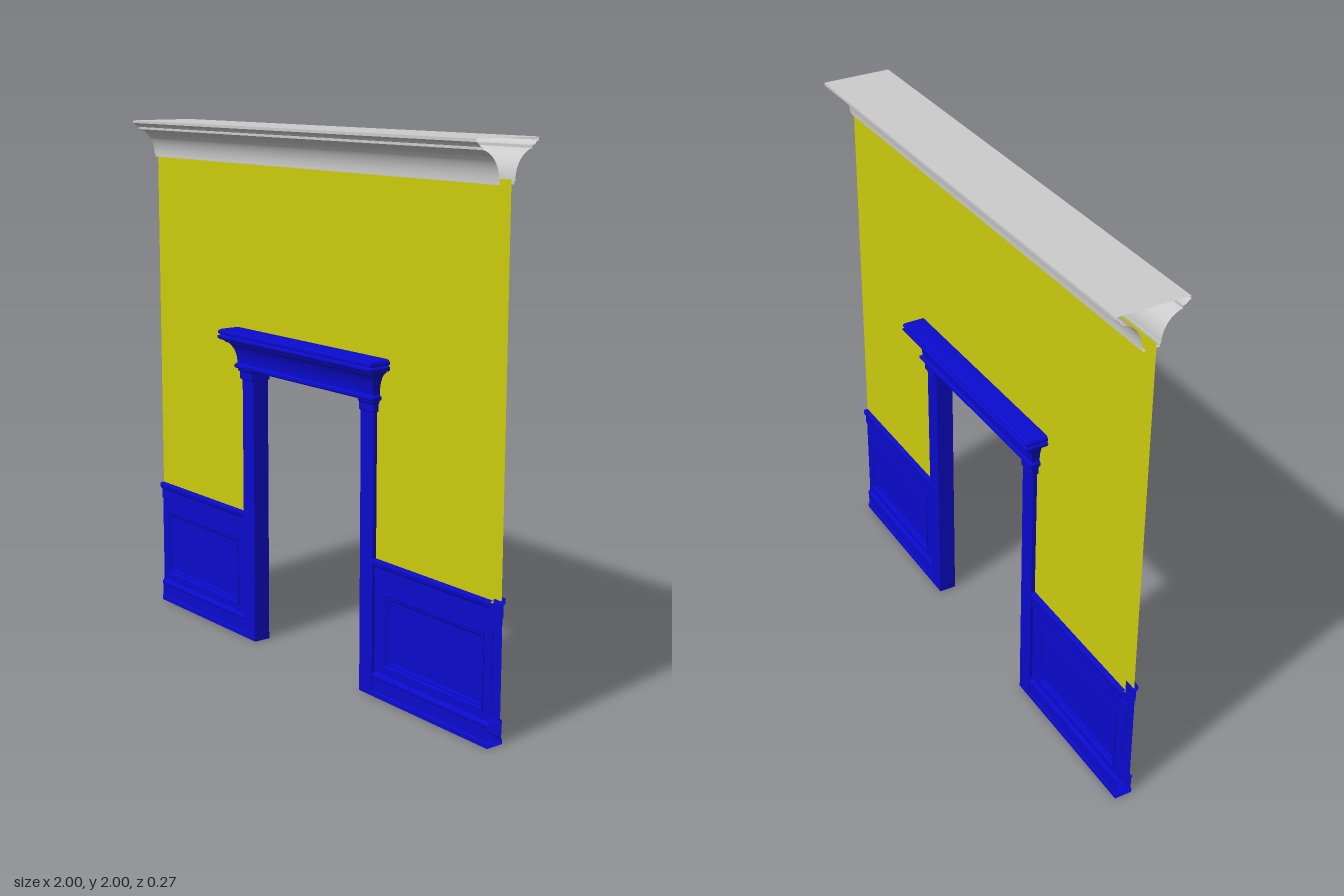
import * as THREE from 'three';
import { toCreasedNormals } from 'three/addons/utils/BufferGeometryUtils.js';

const paint = (color) => new THREE.MeshStandardMaterial({ color, side: THREE.DoubleSide });
const BLUE = paint(0x0a0acc), YELLOW = paint(0xcccc0d), GREY = paint(0xcccccc);

function makeMesh(name, geometry, material) {
  const mesh = new THREE.Mesh(geometry, material);
  mesh.name = name;
  return mesh;
}

// Geometry from a list of four-cornered faces
function fromQuads(quads) {
  const pos = [];
  for (const [a, b, c, d] of quads) pos.push(...a, ...b, ...c, ...a, ...c, ...d);
  const g = new THREE.BufferGeometry();
  g.setAttribute('position', new THREE.Float32BufferAttribute(pos, 3));
  g.computeVertexNormals();
  return toCreasedNormals(g, 0.45);
}

// Moulding: a [z, y] profile, listed upward, run along x with open ends
function moulding(profile, x0, x1) {
  const quads = [];
  for (let i = 0; i + 1 < profile.length; i++) {
    const [z, y] = profile[i], [zn, yn] = profile[i + 1];
    quads.push([[x0, y, z], [x1, y, z], [x1, yn, zn], [x0, yn, zn]]);
  }
  return fromQuads(quads);
}

// Skin over stacked rectangles [u0, u1, v0, v1, h]; place() turns u, v, h into x, y, z
function loft(rects, place, capStart) {
  const rings = rects.map(([u0, u1, v0, v1, h]) =>
    [[u0, v0], [u1, v0], [u1, v1], [u0, v1]].map(([u, v]) => place(u, v, h)));
  const quads = [rings[rings.length - 1]];
  if (capStart) quads.push([...rings[0]].reverse());
  for (let i = 0; i + 1 < rings.length; i++) {
    for (let k = 0; k < 4; k++) {
      const n = (k + 1) % 4;
      quads.push([rings[i][k], rings[i][n], rings[i + 1][n], rings[i + 1][k]]);
    }
  }
  return fromQuads(quads);
}
const upright = (u, v, h) => [u, h, -v];
const facing = (u, v, h) => [u, v, h];

// Concave quarter curve, rising from vertical to nearly horizontal
function cove(z0, y0, z1, y1, steps, sweep = Math.PI / 2) {
  const pts = [];
  for (let i = 0; i <= steps; i++) {
    const t = (i / steps) * sweep;
    pts.push([
      z0 + (z1 - z0) * (1 - Math.cos(t)) / (1 - Math.cos(sweep)),
      y0 + (y1 - y0) * Math.sin(t) / Math.sin(sweep),
    ]);
  }
  return pts;
}

const WALL = 0.018, JAMB_Z = 0.034, JAMB_IN = 0.325, JAMB_OUT = 0.396;

// One face of the wall; the other face is the same turned half way round
function buildFace() {
  const face = new THREE.Group();

  // Plain wall above the panelling, notched for the doorway
  const outline = new THREE.Shape([
    [-1, 0.5], [-0.36, 0.5], [-0.36, 1.1], [0.36, 1.1], [0.36, 0.5],
    [1, 0.5], [1, 1.87], [-1, 1.87],
  ].map(([x, y]) => new THREE.Vector2(x, y)));
  const wall = makeMesh('wallSurface', new THREE.ShapeGeometry(outline), YELLOW);
  wall.position.z = WALL;
  face.add(wall);

  // Ceiling cornice
  const cornice = [
    [WALL, 1.855], [0.03, 1.855], [0.03, 1.866],
    ...cove(0.034, 1.866, 0.105, 1.965, 14, 1.4),
    [0.105, 1.974], [0.116, 1.976], [0.122, 1.984], [0.133, 1.99], [0.133, 2], [0, 2],
  ];
  face.add(makeMesh('cornice', moulding(cornice, -1, 1), GREY));

  // Panelling either side of the doorway
  const baseboard = [
    [0, 0], [0.034, 0], [0.034, 0.016], [0.03, 0.021], [0.03, 0.068],
    [0.033, 0.073], [0.033, 0.08], [0.027, 0.088], [0.023, 0.092],
  ];
  const chairRail = [
    [0.023, 0.44], [0.027, 0.443], [0.027, 0.482], [0.034, 0.488],
    [0.036, 0.494], [0.036, 0.504], [0.032, 0.509], [WALL, 0.509],
  ];
  for (const side of [-1, 1]) {
    const [x0, x1] = side > 0 ? [JAMB_OUT, 1] : [-1, -JAMB_OUT];
    const [p0, p1] = side > 0 ? [0.45, 0.965] : [-0.965, -0.45];
    // Stepped frame sinking to the flat field, as [inset, z]
    const steps = [[0, 0.023], [0, 0.027], [0.008, 0.027], [0.013, 0.02], [0.02, 0.02], [0.026, 0.015]];
    const panel = loft([
      [x0, x1, 0.085, 0.445, 0.023],
      ...steps.map(([d, z]) => [p0 + d, p1 - d, 0.117 + d, 0.397 - d, z]),
    ], facing);
    face.add(
      makeMesh('wainscotPanel', panel, BLUE),
      makeMesh('baseboard', moulding(baseboard, x0, x1), BLUE),
      makeMesh('chairRail', moulding(chairRail, x0, x1), BLUE),
    );
  }
  return face;
}

// Door casing: two posts with capitals and a moulded header
function buildDoorCasing() {
  const casing = new THREE.Group();
  casing.name = 'doorCasing';

  // Rows of [outward offset, y]
  const capital = [[0, 1.035], [0.007, 1.04], [0.007, 1.066], [0.012, 1.072], [0.012, 1.08]];
  const header = [
    [0.018, 1.08], [0.022, 1.084], [0.022, 1.094], [0.014, 1.1],
    ...cove(0.014, 1.104, 0.042, 1.18, 8, 1.2),
    [0.047, 1.18], [0.05, 1.188], [0.062, 1.19], [0.068, 1.197], [0.068, 1.204],
    [0.058, 1.209], [0.066, 1.213], [0.066, 1.222], [0.06, 1.229], [0.052, 1.231],
  ];
  for (const side of [-1, 1]) {
    // Inner face stays flush with the opening
    const span = (o) => (side > 0 ? [JAMB_IN, JAMB_OUT + o] : [-JAMB_OUT - o, -JAMB_IN]);
    const rect = ([o, y]) => [...span(o), -JAMB_Z - o, JAMB_Z + o, y];
    casing.add(
      makeMesh('doorPost', loft([[0, 0], [0, 1.08]].map(rect), upright, true), BLUE),
      makeMesh('postCapital', loft(capital.map(rect), upright, true), BLUE),
    );
  }
  const rows = header.map(([o, y]) => [-JAMB_OUT - o, JAMB_OUT + o, -JAMB_Z - o, JAMB_Z + o, y]);
  casing.add(makeMesh('doorHeader', loft(rows, upright, true), BLUE));
  return casing;
}

export function createModel() {
  const model = new THREE.Group();
  model.name = 'panelledWallWithDoorway';
  const front = buildFace();
  front.name = 'frontFace';
  const back = buildFace();
  back.name = 'backFace';
  back.rotation.y = Math.PI;
  model.add(front, back, buildDoorCasing());
  return model;
}
